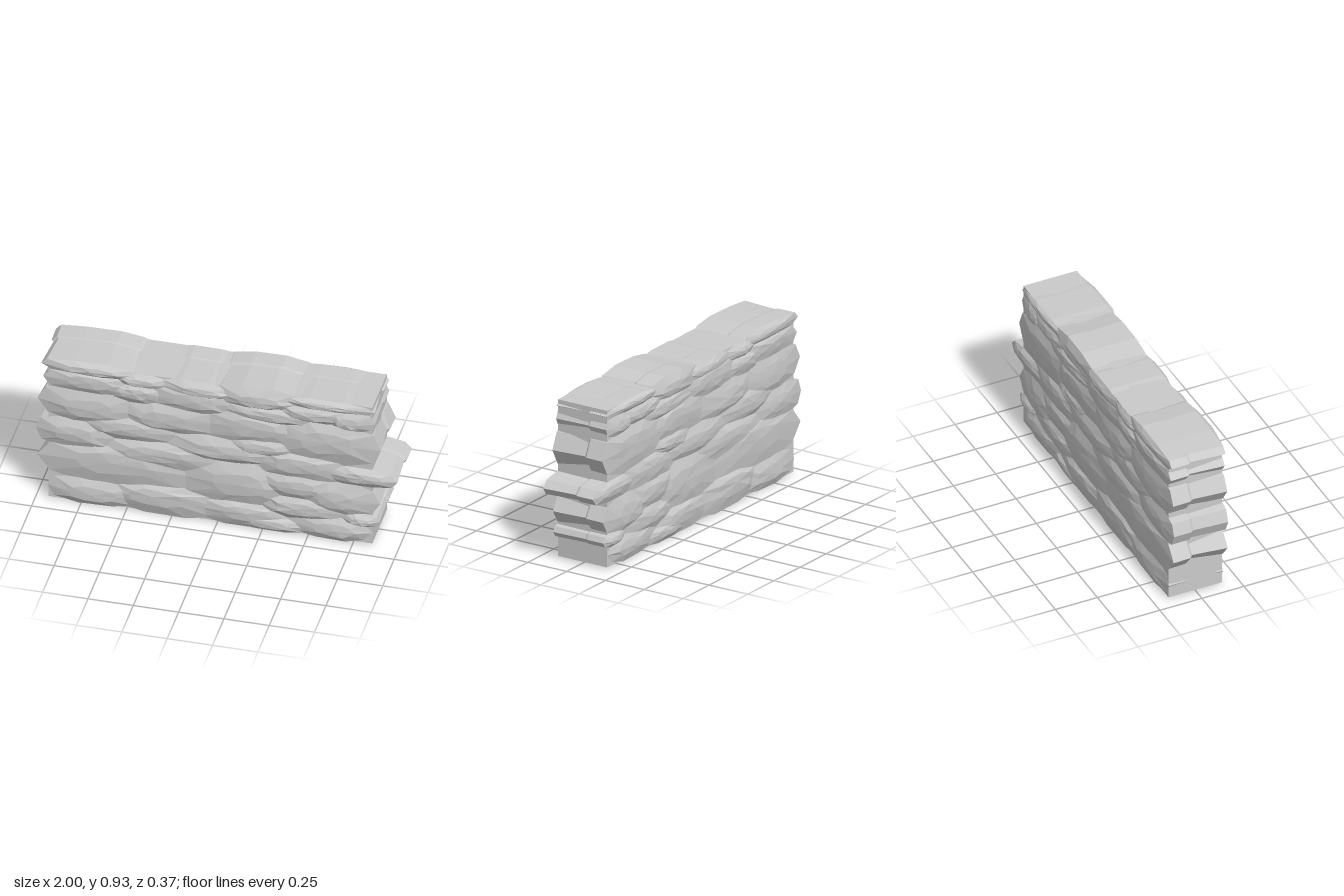
import * as THREE from 'three';

const stoneGrey = new THREE.MeshStandardMaterial({ color: 0xcacaca, flatShading: true });
stoneGrey.name = 'stone grey';

// Seeded random in 0..1
function seeded(seed) {
  let s = seed * 7919 + 13;
  return () => {
    s = (s * 16807) % 2147483647;
    return s / 2147483647;
  };
}

// Slices of a stone from back to front: [z, outline scale]
const SLICES = [[-0.182, 0.48], [-0.165, 1], [-0.06, 0.99], [-0.045, 0.94], [0.156, 1], [0.182, 0.48]];
const SIDES = 10;

// One stone running through the wall: an irregular flattened oval with faceted domed ends
function makeStone(cx, cy, w, h, seed) {
  const rand = seeded(seed);
  for (let i = 0; i < 5; i++) rand();
  const outline = [];
  for (let i = 0; i < SIDES; i++) {
    const a = (i / SIDES) * Math.PI * 2, c = Math.cos(a), s = Math.sin(a);
    const k = 0.97 + rand() * 0.1;
    outline.push([
      Math.sign(c) * Math.abs(c) ** 0.9 * w / 2 * (i % 5 ? k : 1),
      Math.sign(s) * Math.abs(s) ** 0.8 * h / 2 * k,
    ]);
  }
  const pos = [], index = [];
  const leanX = (rand() - 0.5) * 0.25 * w, leanY = (rand() - 0.4) * 0.25 * h;
  for (const [z, k] of SLICES) {
    const domed = k < 0.9, lean = domed ? 0.7 : 0;
    for (const [x, y] of outline) {
      const r = domed ? k * (0.9 + rand() * 0.2) : k;
      const dz = domed ? (rand() - 0.5) * 0.006 : 0;
      pos.push(cx + x * r + leanX * lean, Math.max(0, cy + y * r + leanY * lean), z + dz);
    }
  }
  for (let j = 0; j < SLICES.length - 1; j++) {
    for (let i = 0; i < SIDES; i++) {
      const a = j * SIDES + i, b = j * SIDES + (i + 1) % SIDES;
      index.push(a, b, b + SIDES, a, b + SIDES, a + SIDES);
    }
  }
  // Blunt end caps
  const back = pos.length / 3, front = back + 1, last = (SLICES.length - 1) * SIDES;
  pos.push(cx + leanX, cy + leanY, -0.187, cx + leanX, cy + leanY, 0.187);
  for (let i = 0; i < SIDES; i++) {
    const n = (i + 1) % SIDES;
    index.push(back, n, i, front, last + i, last + n);
  }
  const g = new THREE.BufferGeometry();
  g.setAttribute('position', new THREE.Float32BufferAttribute(pos, 3));
  g.setIndex(index);
  const flat = g.toNonIndexed();
  flat.computeVertexNormals();
  return flat;
}

// Courses from top to bottom, each stone as [x, y, width, height]
const COURSES = [
  [[-0.7, 0.885, 0.54, 0.093], [-0.41, 0.86, 0.3, 0.09], [-0.12, 0.86, 0.44, 0.1], [0.22, 0.86, 0.48, 0.145], [0.6, 0.875, 0.54, 0.07]],
  [[-0.71, 0.8, 0.5, 0.15], [-0.43, 0.775, 0.34, 0.13], [-0.16, 0.785, 0.5, 0.18], [0.28, 0.765, 0.52, 0.12], [0.53, 0.81, 0.44, 0.12], [0.745, 0.8, 0.25, 0.13]],
  [[-0.7, 0.65, 0.58, 0.24], [-0.26, 0.65, 0.58, 0.2], [0.17, 0.65, 0.56, 0.22], [0.6, 0.63, 0.61, 0.28]],
  [[-0.78, 0.455, 0.44, 0.2], [-0.47, 0.54, 0.56, 0.17], [0, 0.49, 0.62, 0.17], [0.24, 0.55, 0.4, 0.12], [0.47, 0.45, 0.5, 0.19], [0.775, 0.44, 0.44, 0.12]],
  [[-0.56, 0.28, 0.87, 0.28], [-0.3, 0.39, 0.7, 0.19], [0.09, 0.28, 0.6, 0.28], [0.43, 0.32, 0.46, 0.18], [0.68, 0.28, 0.44, 0.22]],
  [[-0.67, 0.09, 0.53, 0.18], [-0.29, 0.1, 0.64, 0.2], [0.13, 0.09, 0.52, 0.17], [0.29, 0.05, 0.44, 0.1], [0.48, 0.18, 0.5, 0.15], [0.62, 0.08, 0.47, 0.16], [0.79, 0.16, 0.21, 0.085]],
];

export function createModel() {
  const wall = new THREE.Group();
  wall.name = 'stoneWall';

  // Mortar core behind the stones
  const core = new THREE.Mesh(new THREE.BoxGeometry(1.785, 0.893, 0.318), stoneGrey);
  core.position.set(-0.037, 0.4585, -0.005);
  core.name = 'mortarCore';
  wall.add(core);

  COURSES.forEach((stones, row) => {
    const course = new THREE.Group();
    course.name = 'course' + (row + 1);
    stones.forEach(([x, y, w, h], i) => {
      const stone = new THREE.Mesh(makeStone(x, y, w, h, row * 10 + i + 1), stoneGrey);
      stone.name = 'stone' + (i + 1);
      course.add(stone);
    });
    wall.add(course);
  });
  return wall;
}
